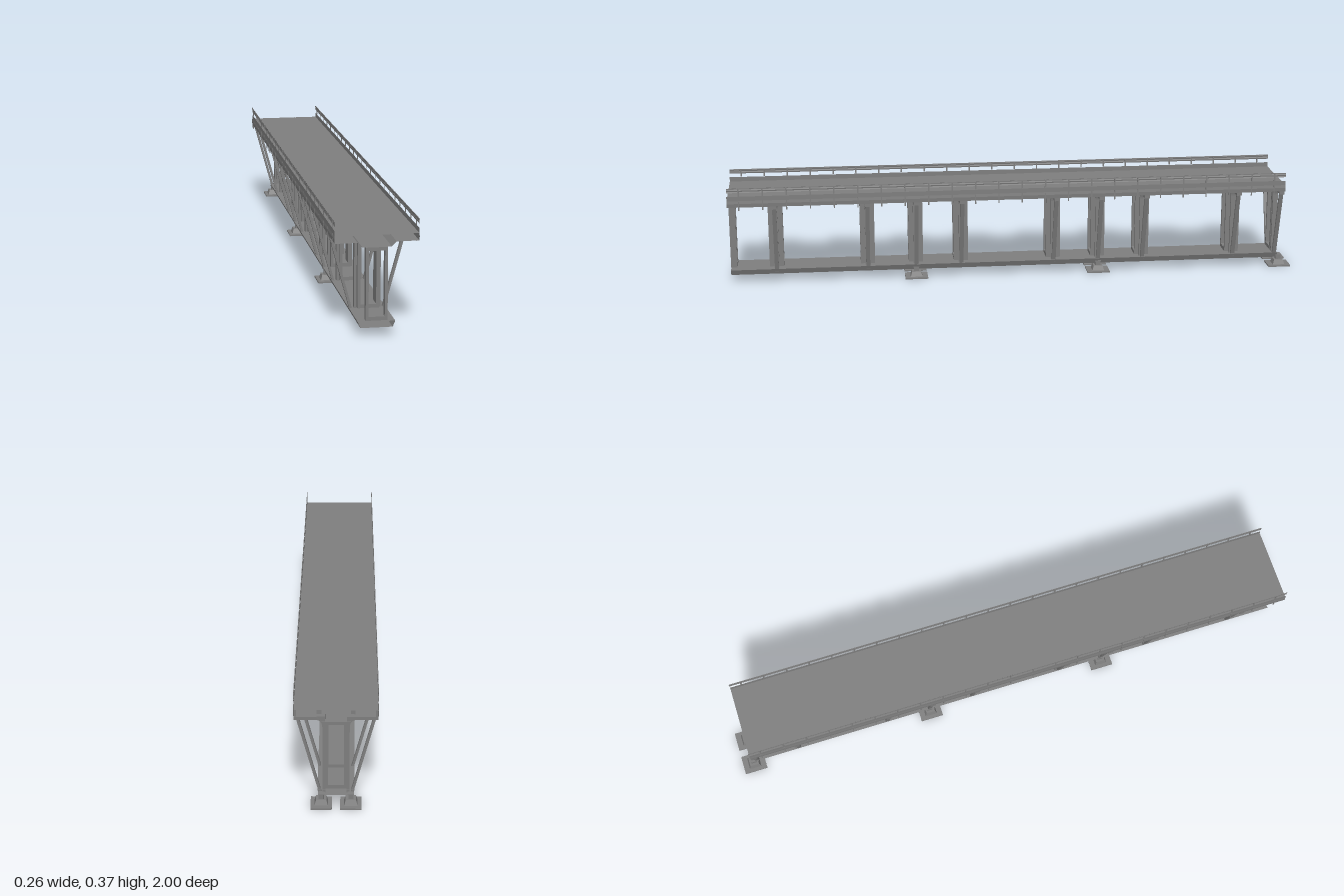
import * as THREE from 'three';

const mat = new THREE.MeshStandardMaterial({ color: 0x7e7e7e, flatShading: true, side: THREE.DoubleSide });
const Z_FRONT = 1, Z_BACK = -0.955;
const PIERS = [0.35, -0.3, -0.96];
const FRAMES = [0.84, 0.52, 0.35, 0.19, -0.14, -0.3, -0.46, -0.79];
const LENGTH = Z_FRONT - Z_BACK, MID = (Z_FRONT + Z_BACK) / 2;

function add(parent, name, geometry, x = 0, y = 0, z = 0) {
  const mesh = new THREE.Mesh(geometry, mat);
  mesh.name = name;
  mesh.position.set(x, y, z);
  parent.add(mesh);
  return mesh;
}

// Open-ended skin: an (x, y) outline swept along the full bridge length
function sweep(points, closed = true) {
  const pos = [], n = points.length;
  for (let i = 0; i < (closed ? n : n - 1); i++) {
    const [ax, ay] = points[i], [bx, by] = points[(i + 1) % n];
    pos.push(ax, ay, Z_FRONT, ax, ay, Z_BACK, bx, by, Z_BACK,
      ax, ay, Z_FRONT, bx, by, Z_BACK, bx, by, Z_FRONT);
  }
  const g = new THREE.BufferGeometry();
  g.setAttribute('position', new THREE.Float32BufferAttribute(pos, 3));
  g.computeVertexNormals();
  return g;
}

// Extrusion centred on z = 0
function extrude(shape, depth) {
  const g = new THREE.ExtrudeGeometry(shape, { depth, bevelEnabled: false, curveSegments: 6 });
  return g.translate(0, 0, -depth / 2);
}

function rect(shape, x0, y0, x1, y1) {
  shape.moveTo(x0, y0).lineTo(x1, y0).lineTo(x1, y1).lineTo(x0, y1).closePath();
  return shape;
}

// Column, curved bracket, deck arm and upturned tip of one side
function armShape(s) {
  const p = new THREE.Shape();
  p.moveTo(s * 0.033, 0.037);
  p.lineTo(s * 0.042, 0.037);
  p.lineTo(s * 0.042, 0.262);
  p.quadraticCurveTo(s * 0.043, 0.286, s * 0.064, 0.286);
  p.lineTo(s * 0.13, 0.286);
  p.lineTo(s * 0.13, 0.32);
  p.lineTo(s * 0.122, 0.32);
  p.lineTo(s * 0.122, 0.297);
  p.lineTo(s * 0.033, 0.297);
  p.closePath();
  return p;
}

function strutShape(s) {
  const p = new THREE.Shape();
  p.moveTo(s * 0.046, 0.038);
  p.lineTo(s * 0.054, 0.038);
  p.lineTo(s * 0.122, 0.287);
  p.lineTo(s * 0.113, 0.287);
  p.closePath();
  return p;
}

function portalShape() {
  const p = rect(new THREE.Shape(), -0.034, 0.051, 0.034, 0.281);
  p.holes.push(rect(new THREE.Path(), -0.025, 0.063, 0.025, 0.27));
  return p;
}

function createCrossFrame(z, portalDepth) {
  const frame = new THREE.Group();
  frame.name = 'crossFrame';
  frame.position.z = z;
  add(frame, 'portal', extrude(portalShape(), portalDepth));
  for (const s of [1, -1]) {
    add(frame, 'sideArm', extrude(armShape(s), 0.018));
    add(frame, 'strut', extrude(strutShape(s), 0.014));
  }
  return frame;
}

function createFooting() {
  const g = new THREE.Group();
  g.name = 'footing';
  add(g, 'basePlate', new THREE.BoxGeometry(0.066, 0.005, 0.08), 0, 0.0025);
  // Four-sided tapered block
  const block = new THREE.CylinderGeometry(0.016 * Math.SQRT2, 0.021 * Math.SQRT2, 0.017, 4);
  add(g, 'taperedBlock', block.rotateY(Math.PI / 4), 0, 0.0135);
  add(g, 'bearing', new THREE.BoxGeometry(0.016, 0.014, 0.018), 0, 0.029);
  add(g, 'bearingCap', new THREE.BoxGeometry(0.02, 0.003, 0.022), 0, 0.038);
  return g;
}

export function createModel() {
  const model = new THREE.Group();
  model.name = 'bridge';

  // Deck skin with a shallow keel, and the lower flange with undercut edges
  add(model, 'deck', sweep([
    [-0.13, 0.32], [-0.13, 0.297], [-0.06, 0.297], [-0.045, 0.282],
    [0.045, 0.282], [0.06, 0.297], [0.13, 0.297], [0.13, 0.32],
  ]));
  add(model, 'lowerFlange', sweep([[-0.05, 0.029], [0.05, 0.029], [0.058, 0.048], [-0.058, 0.048]]));

  // Cross frames, with half-depth portals at the two ends
  add(model, 'endPortal', extrude(portalShape(), 0.022), 0, 0, 0.989);
  for (const z of FRAMES) model.add(createCrossFrame(z, 0.05));
  model.add(createCrossFrame(-0.944, 0.022));

  // Footings under the piers
  for (const z of PIERS) {
    for (const s of [1, -1]) {
      const footing = createFooting();
      footing.position.set(s * 0.046, 0, z);
      model.add(footing);
    }
  }

  const postCount = 24;
  for (const s of [1, -1]) {
    // Seam strip between the deck lanes
    add(model, 'deckSeam', sweep([[s * 0.042, 0.3205], [s * 0.044, 0.3205]], false));
    // Parapet skin with a folded middle, then the ribbed guard rail
    add(model, 'parapet', sweep([
      [s * 0.13, 0.297], [s * 0.131, 0.31], [s * 0.13, 0.32], [s * 0.13, 0.336],
    ], false));
    add(model, 'guardRail', sweep([
      [s * 0.13, 0.365], [s * 0.129, 0.361], [s * 0.13, 0.357], [s * 0.129, 0.353], [s * 0.13, 0.349],
    ], false));
    add(model, 'railLip', new THREE.BoxGeometry(0.002, 0.003, LENGTH), s * 0.13, 0.363, MID);
    // Rail posts above the parapet and ribs on its face
    for (let i = 0; i < postCount; i++) {
      const z = Z_FRONT - (i + 0.5) * LENGTH / postCount;
      add(model, 'railPost', new THREE.BoxGeometry(0.002, 0.028, 0.005), s * 0.13, 0.351, z);
      add(model, 'parapetRib', new THREE.BoxGeometry(0.002, 0.034, 0.004), s * 0.1305, 0.303, z);
    }
  }
  return model;
}
